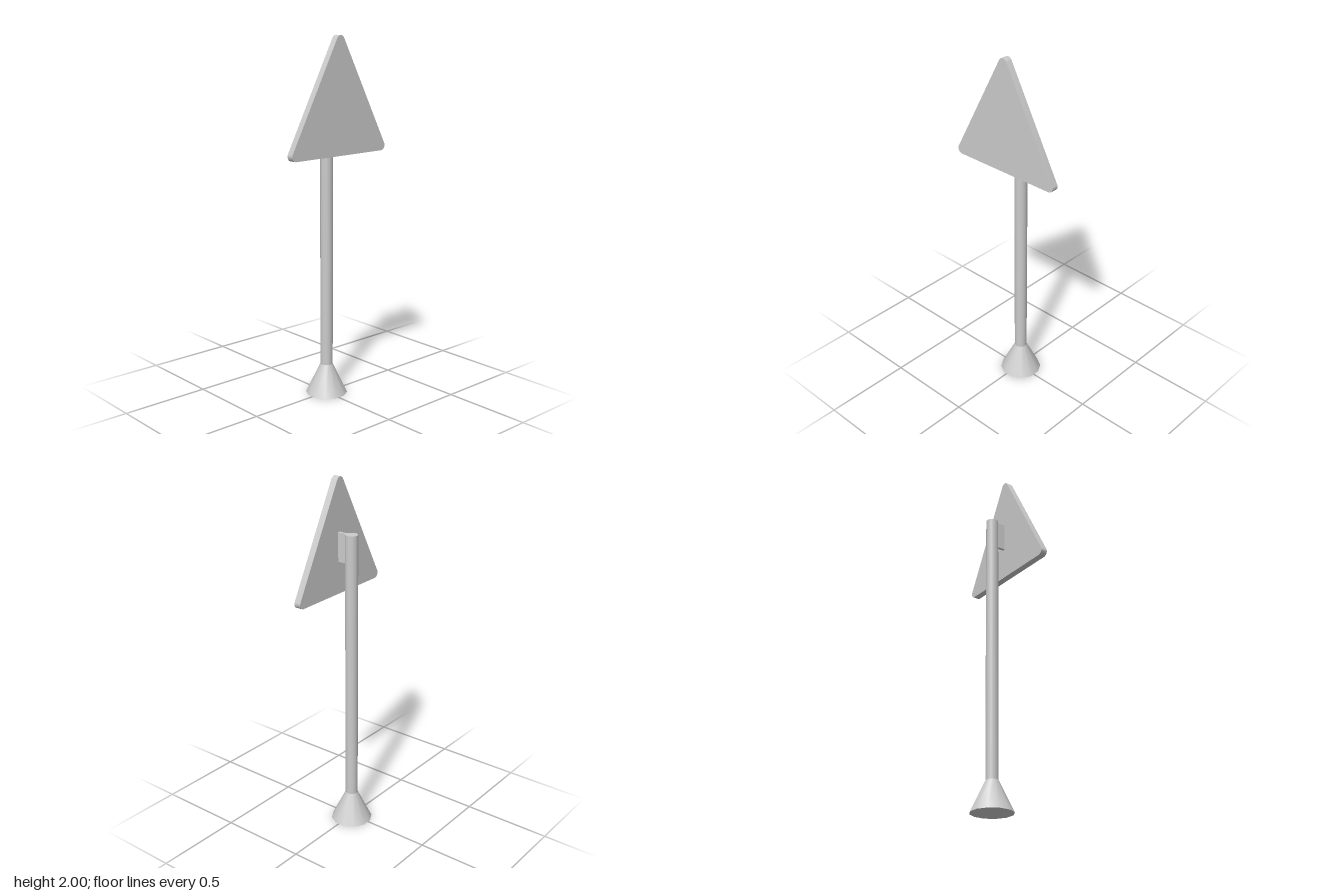
import * as THREE from 'three';
import { mergeGeometries, toCreasedNormals } from 'three/addons/utils/BufferGeometryUtils.js';

const material = new THREE.MeshStandardMaterial({ color: 0xcccccc });
const AXIS = { x: -0.007, z: -0.01 };

function addMesh(parent, name, geometry, x, y, z) {
  const mesh = new THREE.Mesh(geometry, material);
  mesh.name = name;
  mesh.position.set(x, y, z);
  parent.add(mesh);
  return mesh;
}

// Twelve-sided tube wall in four smooth quarters, creased on the diagonals
function quarteredWall(rTop, rBottom, height) {
  const quarters = [];
  for (let i = 0; i < 4; i++) {
    quarters.push(new THREE.CylinderGeometry(
      rTop, rBottom, height, 3, 1, true, Math.PI / 4 + i * Math.PI / 2, Math.PI / 2));
  }
  return mergeGeometries(quarters);
}

// Triangle with rounded corners: arcs around three corner centres
function signShape() {
  const r = 0.027, halfWidth = 0.307, low = 1.397, high = 1.973;
  const slope = Math.atan2(halfWidth, high - low); // angle of the right edge's normal
  const shape = new THREE.Shape();
  shape.absarc(halfWidth, low, r, -Math.PI / 2, slope, false);
  shape.absarc(0, high, r, slope, Math.PI - slope, false);
  shape.absarc(-halfWidth, low, r, Math.PI - slope, Math.PI * 1.5, false);
  shape.closePath();
  return shape;
}

export function createModel() {
  const model = new THREE.Group();
  model.name = 'triangularRoadSign';

  const poleRadius = 0.035, baseRadius = 0.117, neck = 0.17, poleTop = 1.71;

  // Flared foot and straight pole
  addMesh(model, 'base', quarteredWall(poleRadius, baseRadius, neck), AXIS.x, neck / 2, AXIS.z);
  addMesh(model, 'pole', quarteredWall(poleRadius, poleRadius, poleTop - neck),
    AXIS.x, (poleTop + neck) / 2, AXIS.z);

  // Flat end caps
  const cap = (r) => new THREE.CircleGeometry(r, 12, Math.PI / 12);
  addMesh(model, 'poleCap', cap(poleRadius), AXIS.x, poleTop, AXIS.z).rotation.x = -Math.PI / 2;
  addMesh(model, 'baseUnderside', cap(baseRadius), AXIS.x, 0, AXIS.z).rotation.x = Math.PI / 2;

  // Thin bracket joining the pole to the plate
  addMesh(model, 'bracket', new THREE.BoxGeometry(0.064, 0.16, 0.016), 0.048, 1.63, -0.011);

  // Plate facing the model's left, turned very slightly on the pole
  const thickness = 0.038;
  const plate = new THREE.ExtrudeGeometry(signShape(),
    { depth: thickness, bevelEnabled: false, curveSegments: 5 });
  plate.translate(0, 0, -thickness / 2);
  addMesh(model, 'signPlate', toCreasedNormals(plate, 0.7), 0.0945, 0, 0)
    .rotation.y = Math.PI / 2 + 0.009;

  return model;
}
